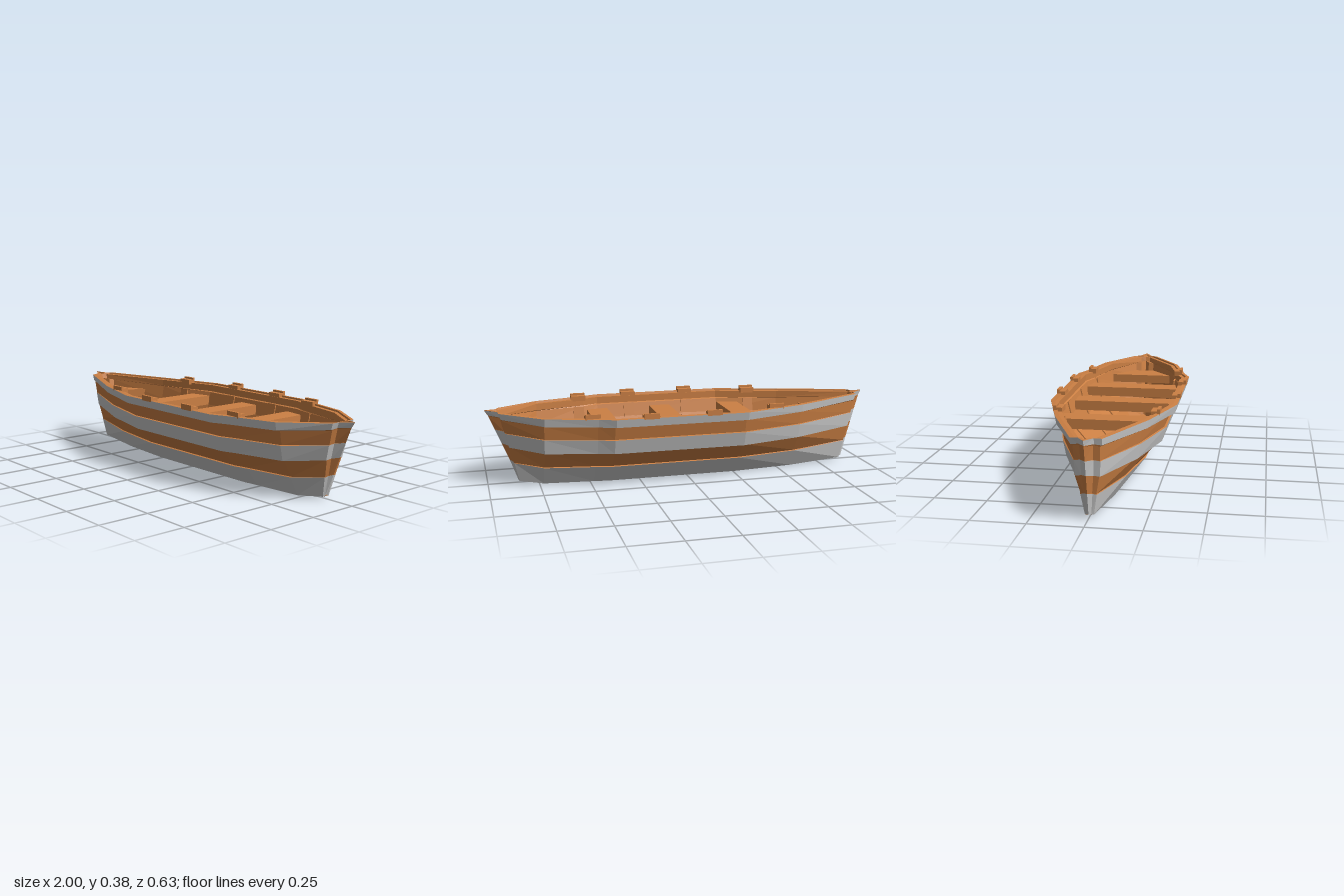
import * as THREE from 'three';

const mat = (color) => new THREE.MeshStandardMaterial({ color, flatShading: true, side: THREE.DoubleSide });
const wood = mat(0xcc8044);
const paint = mat(0xcccccc);

// hull stations along x: [x, width factor, end lean (+ bow, - stern)]
const stations = [
  [-1, 0, -1], [-0.945, 0.11, -0.6], [-0.94, 0.22, -0.6], [-0.58, 0.69, 0], [-0.26, 1, 0],
  [0.4, 1, 0], [0.48, 0.9, 0], [0.73, 0.69, 0], [0.935, 0.22, 0.6], [0.94, 0.11, 0.6], [1, 0, 1],
];

// half section from the keel, up the outside, over the rim, down the inside:
// [half width, height, inset, part that ends at this point]
const section = [
  [0, 0, 0],
  [0.09, 0, 0, 'bottom'],
  [0.163, 0.092, 0, 'lowerPaintedStrake'],
  [0.155, 0.095, 0, 'lowerWoodStrake'],
  [0.228, 0.18, 0, 'lowerWoodStrake'],
  [0.241, 0.178, 0, 'lowerWoodStrake'],
  [0.262, 0.25, 0, 'upperPaintedStrake'],
  [0.252, 0.252, 0, 'upperWoodStrake'],
  [0.268, 0.318, 0, 'upperWoodStrake'],
  [0.303, 0.323, 0, 'rimTop'],
  [0.313, 0.363, 0, 'paintedRim'],
  [0.313, 0.365, 0.02, 'rimTop'],
  [0.313, 0.357, 0.022, 'rimTop'],
  [0.313, 0.357, 0.043, 'rimTop'],
  [0.313, 0.322, 0.043, 'rimTop'],
  [0.268, 0.318, 0.006, 'innerHull'],
  [0.252, 0.25, 0.006, 'innerHull'],
  [0.228, 0.18, 0.008, 'innerHull'],
  [0.155, 0.095, 0.008, 'innerHull'],
  [0.09, 0.016, 0.006, 'innerHull'],
  [0, 0.016, 0.006, 'innerFloor'],
];
const painted = ['lowerPaintedStrake', 'upperPaintedStrake', 'paintedRim'];

// hull width factor at any x
function factorAt(x) {
  const i = stations.findIndex((s) => s[0] >= x);
  const [a, b] = [stations[i - 1], stations[i]];
  return THREE.MathUtils.lerp(a[1], b[1], (x - a[0]) / (b[0] - a[0]));
}

// narrowest width factor under a piece of the given width
const narrowest = (x, width) => Math.min(factorAt(x - width / 2), factorAt(x + width / 2));

// height with the sheer curving up towards the ends
function sheer(y, f) {
  const rise = y > 0.34 ? 0.013 : y < 0.03 ? 0.02 : 0.028;
  return y + rise * (1 - f) ** 2;
}

function hullPoint([x, f, lean], [half, y, inset], side) {
  const reach = lean > 0 ? 0.15 : 0.1;
  let px = x - lean * reach * (1 - y / 0.365);
  // the lining stops short of the stems
  if (inset > 0 && y < 0.32) px -= Math.sign(lean) * 0.03;
  return [px, sheer(y, f), side * Math.max(0, half * f - inset)];
}

// one lengthwise run of planking on both sides
function strakeGeometry(name) {
  const pos = [];
  for (let k = 1; k < section.length; k++) {
    if (section[k][3] !== name) continue;
    for (const side of [1, -1]) {
      for (let i = 0; i < stations.length - 1; i++) {
        const a = hullPoint(stations[i], section[k - 1], side);
        const b = hullPoint(stations[i + 1], section[k - 1], side);
        const c = hullPoint(stations[i + 1], section[k], side);
        const d = hullPoint(stations[i], section[k], side);
        const corners = side > 0 ? [a, b, c, a, c, d] : [a, c, b, a, d, c];
        pos.push(...corners.flat());
      }
    }
  }
  const g = new THREE.BufferGeometry();
  g.setAttribute('position', new THREE.Float32BufferAttribute(pos, 3));
  g.computeVertexNormals();
  return g;
}

function extrude(points, depth) {
  const shape = new THREE.Shape(points.map(([u, v]) => new THREE.Vector2(u, v)));
  return new THREE.ExtrudeGeometry(shape, { depth, bevelEnabled: false });
}

// cross-section outline in (z, y), given a thickness along x
function crossPiece(points, x, width) {
  return extrude(points, width).translate(0, 0, -width / 2).rotateY(-Math.PI / 2).translate(x, 0, 0);
}

export function createModel() {
  const boat = new THREE.Group();
  boat.name = 'rowingBoat';
  const add = (name, geometry, material = wood) => {
    const m = new THREE.Mesh(geometry, material);
    m.name = name;
    boat.add(m);
    return m;
  };

  // planking, rim and lining
  for (const name of new Set(section.slice(1).map((p) => p[3]))) {
    add(name, strakeGeometry(name), painted.includes(name) ? paint : wood);
  }

  // rowing benches, their ends following the hull
  for (const x of [-0.315, 0.065, 0.405]) {
    const [a, b] = [x - 0.055, x + 0.055];
    const [ha, hb] = [0.25 * factorAt(a), 0.25 * factorAt(b)];
    const bench = extrude([[a, -ha], [b, -hb], [b, hb], [a, ha]], 0.05);
    add('bench', bench.rotateX(-Math.PI / 2)).position.y = 0.25;
  }

  // small end seats; the stern one has a notched edge
  const sternHalf = 0.245 * factorAt(-0.69);
  const bowHalf = 0.245 * factorAt(0.73);
  const seats = {
    sternSeat: [[-0.69, -sternHalf], [-0.77, 0], [-0.69, sternHalf], [-0.9, 0.045], [-0.9, -0.045]],
    bowSeat: [[0.73, -bowHalf], [0.87, -0.06], [0.87, 0.06], [0.73, bowHalf]],
  };
  for (const [name, outline] of Object.entries(seats)) {
    add(name, extrude(outline, 0.045).rotateX(-Math.PI / 2)).position.y = 0.25;
  }

  // shallow ribs with stepped heads on the rim
  const lining = section.slice(15, 20);
  for (const x of [-0.425, -0.085, 0.23, 0.505]) {
    const f = narrowest(x, 0.055);
    const wall = lining.map(([h, y, inset]) => [h * f - inset, sheer(y, f)]);
    const outer = wall.map(([z, y]) => [z + 0.001, y - 0.001]);
    const inner = wall.map(([z, y]) => [z - 0.005, y + 0.003]).reverse();
    const w = 0.313 * narrowest(x, 0.075) + 0.001;
    const head = [
      [w, 0.358], [w, 0.385], [w - 0.014, 0.385], [w - 0.014, 0.376], [w - 0.042, 0.376], [w - 0.042, 0.35],
      [w - 0.024, 0.35], [w - 0.022, 0.358],
    ];
    for (const side of [1, -1]) {
      add('rib', crossPiece([...outer, ...inner], x, 0.055)).scale.z = side;
      add('ribHead', crossPiece(head, x, 0.075)).scale.z = side;
    }
  }
  return boat;
}
